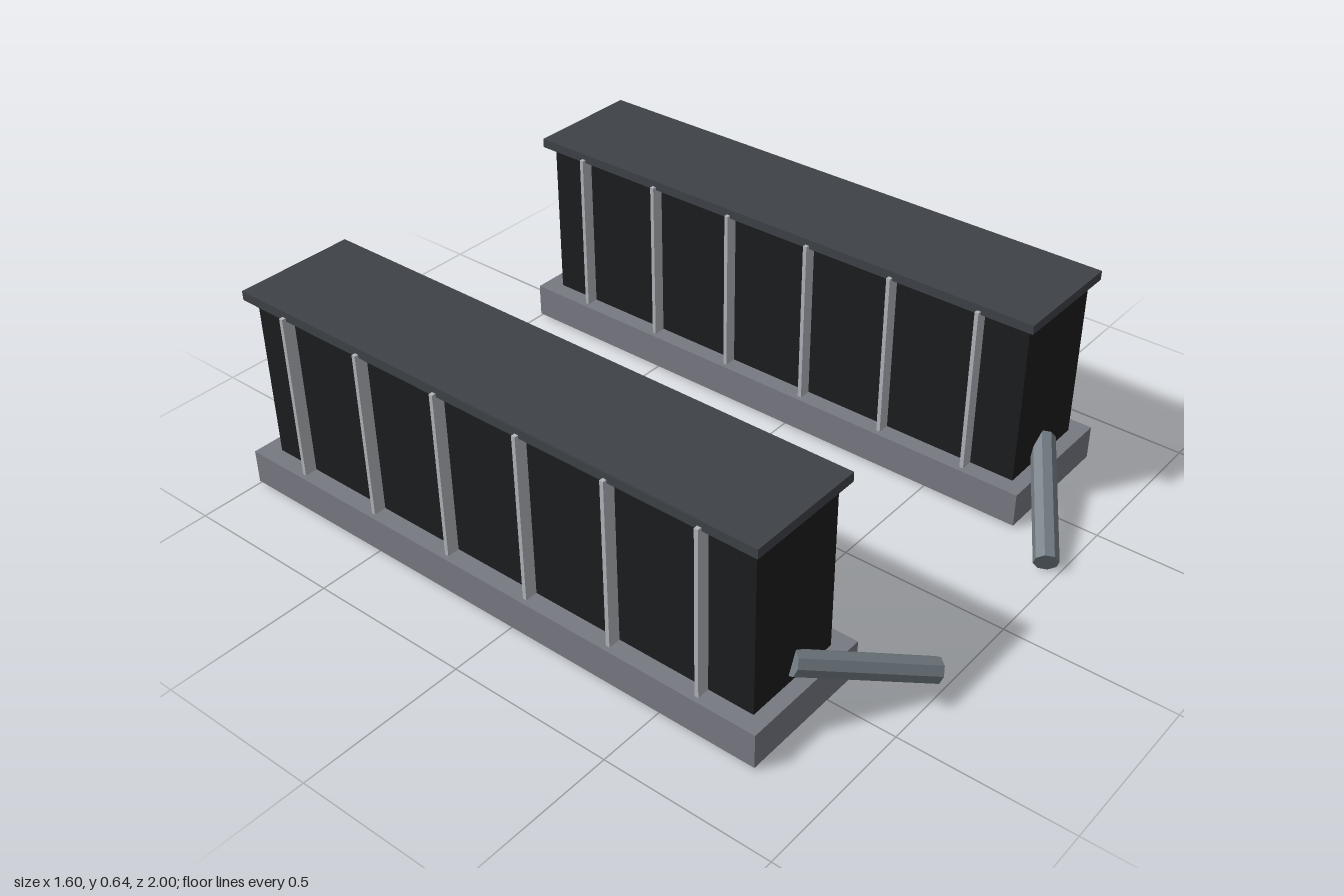
import * as THREE from 'three';

const mat = (color) => new THREE.MeshStandardMaterial({ color, flatShading: true });

// Box given by its minimum and maximum corners
function box(name, material, [x0, y0, z0], [x1, y1, z1]) {
  const mesh = new THREE.Mesh(new THREE.BoxGeometry(x1 - x0, y1 - y0, z1 - z0), material);
  mesh.position.set((x0 + x1) / 2, (y0 + y1) / 2, (z0 + z1) / 2);
  mesh.name = name;
  return mesh;
}

// Straight low-poly pipe between two points
function pipe(name, material, a, b, radius) {
  const dir = b.clone().sub(a);
  const mesh = new THREE.Mesh(new THREE.CylinderGeometry(radius, radius, dir.length(), 8), material);
  mesh.position.copy(a).add(b).multiplyScalar(0.5);
  mesh.quaternion.setFromUnitVectors(new THREE.Vector3(0, 1, 0), dir.normalize());
  mesh.name = name;
  return mesh;
}

export function createModel() {
  const model = new THREE.Group();
  const plinthMat = mat(0x777982);
  const bodyMat = mat(0x1c1d1e);
  const ribMat = mat(0xb0b3b8);
  const roofMat = mat(0x3e4146);
  const pipeMat = mat(0x707980);

  for (const s of [1, -1]) {
    const bank = new THREE.Group();
    bank.name = s > 0 ? 'leftBank' : 'rightBank';

    // Plinth, dark body and overhanging roof slab, drawn around the bank centre
    bank.add(box('plinth', plinthMat, [-0.21, 0.015, -1], [0.21, 0.12, 0.8]));
    bank.add(box('body', bodyMat, [-0.157, 0.12, -0.945], [0.157, 0.606, 0.755]));
    bank.add(box('roof', roofMat, [-0.183, 0.622, -0.973], [0.183, 0.65, 0.777]));

    // Ribs cross the full width and carry the roof
    for (let i = 0; i < 6; i++) {
      const z = -0.804 + i * 0.283;
      bank.add(box('rib', ribMat, [-0.195, 0.12, z - 0.006], [0.195, 0.632, z + 0.006]));
    }

    // Outlet pipe slopes down from the front towards the middle
    bank.add(pipe('outletPipe', pipeMat,
      new THREE.Vector3(s * 0.005, 0.176, 0.752),
      new THREE.Vector3(s * -0.322, 0.041, 0.967), 0.036));

    bank.position.x = s * 0.592;
    model.add(bank);
  }
  return model;
}
